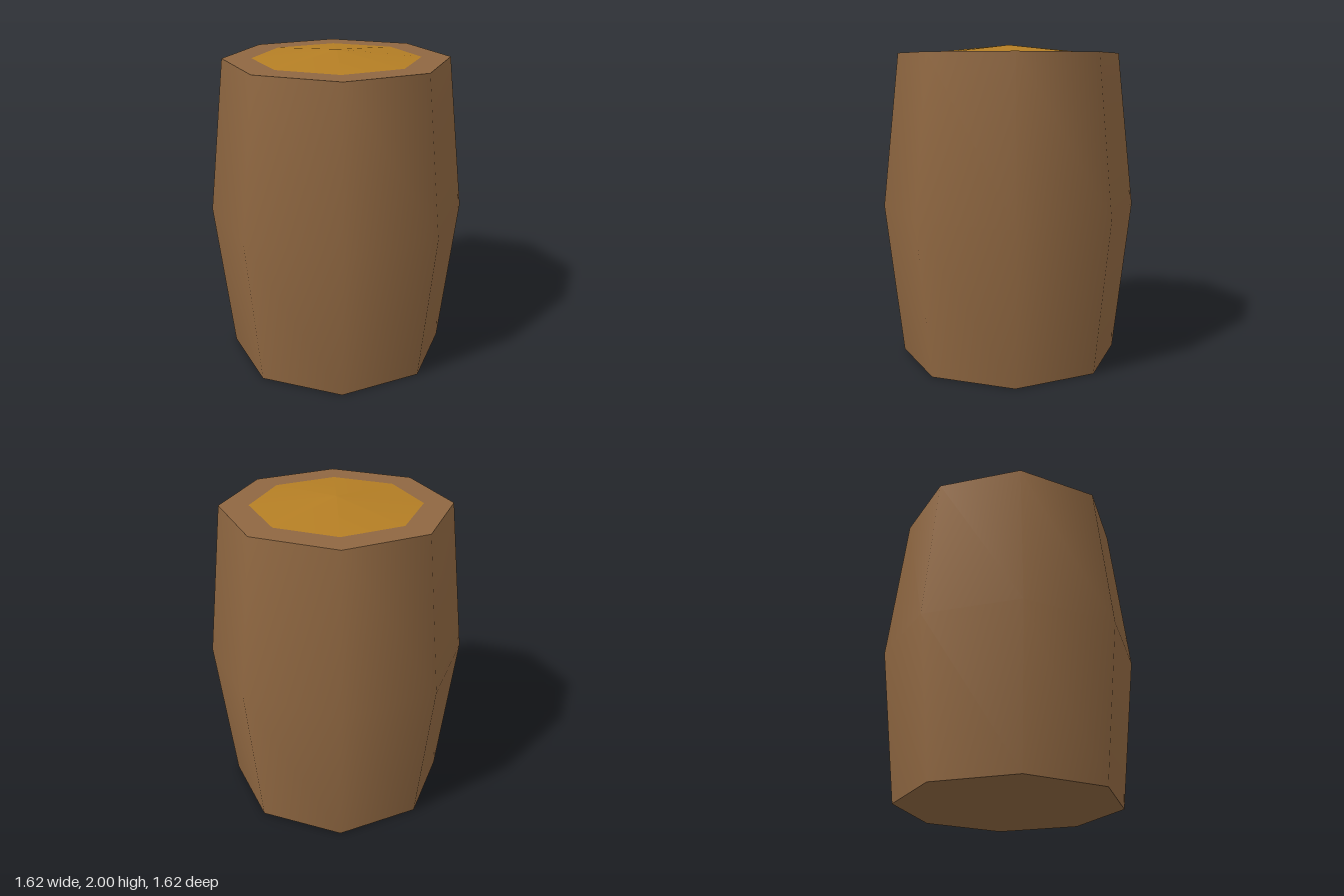
import * as THREE from 'three';

const SIDES = 8;
const HEIGHT = 1.95;
const END_RADIUS = 0.7;
const BELLY_RADIUS = 0.81;

export function createModel() {
  const wood = new THREE.MeshStandardMaterial({ color: 0x8f6741 });
  wood.name = 'brown wood';
  const gold = new THREE.MeshStandardMaterial({ color: 0xb47e24 });
  gold.name = 'golden lid';

  const barrel = new THREE.Group();
  barrel.name = 'barrel';
  const add = (name, geometry, material, y = 0) => {
    const mesh = new THREE.Mesh(geometry, material);
    mesh.name = name;
    mesh.position.y = y;
    barrel.add(mesh);
  };

  // Bulging wall, smooth around its eight sides
  const profile = [
    new THREE.Vector2(END_RADIUS, 0),
    new THREE.Vector2(BELLY_RADIUS, HEIGHT / 2),
    new THREE.Vector2(END_RADIUS, HEIGHT),
  ];
  add('wall', new THREE.LatheGeometry(profile, SIDES), wood);

  // Flat ends
  const end = new THREE.CircleGeometry(END_RADIUS, SIDES);
  add('topRim', end.clone().rotateX(-Math.PI / 2), wood, HEIGHT);
  add('base', end.clone().rotateX(Math.PI / 2), wood);

  // Shallow pointed lid
  const lidHeight = 2 - HEIGHT;
  add('lid', new THREE.ConeGeometry(0.52, lidHeight, SIDES, 1, true), gold, HEIGHT + lidHeight / 2);

  return barrel;
}
